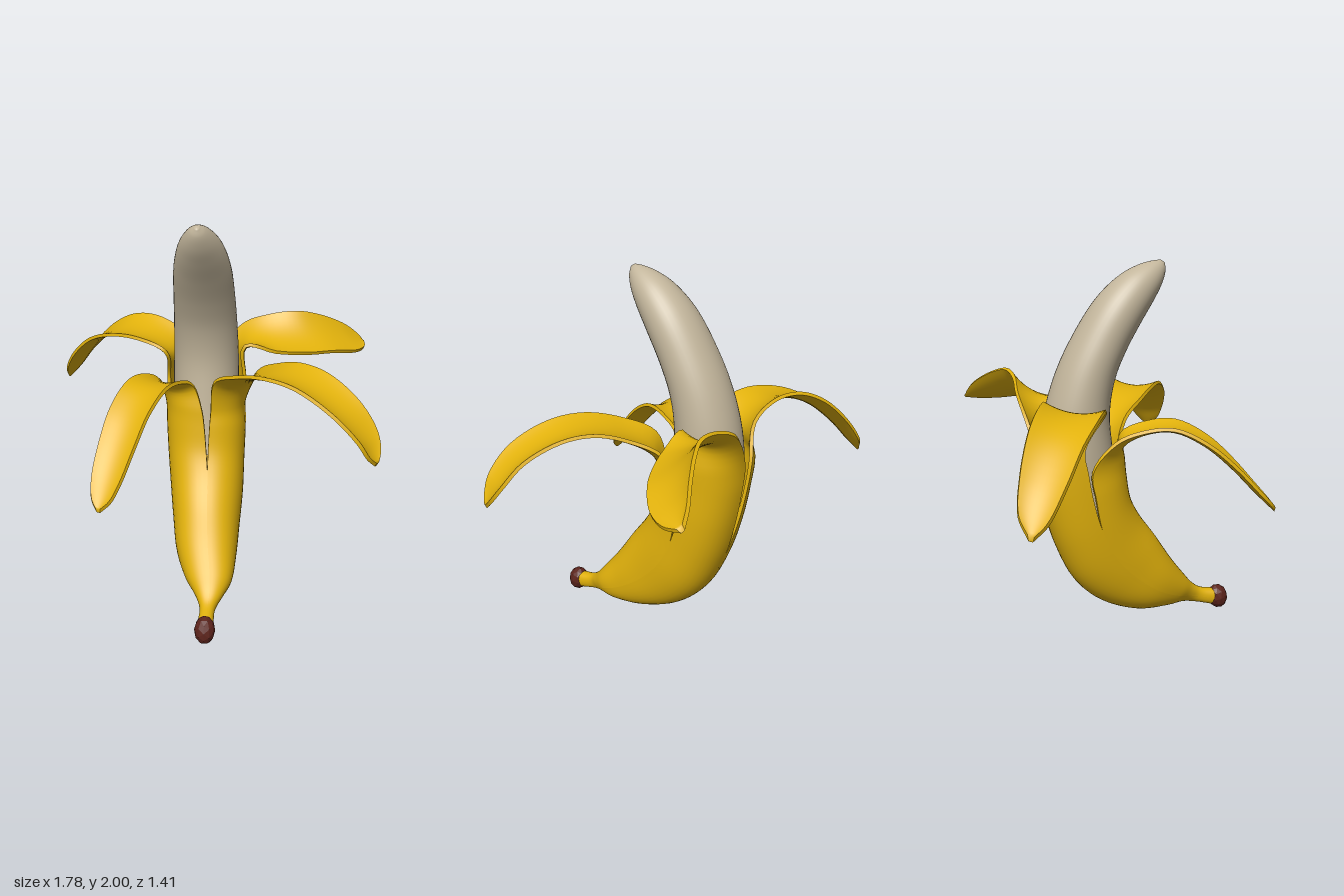
import * as THREE from 'three';
import { mergeGeometries } from 'three/addons/utils/BufferGeometryUtils.js';

const V = (x, y, z) => new THREE.Vector3(x, y, z);
const ACROSS = 12; // faces across each peel strip
const THICK = 0.018;
const Q = Math.PI / 2;

// Cross-sections: front z, front y, back z, back y, centre x, half width
const PEEL_RINGS = [
  [0.6, 0.125, 0.575, 0.035, 0.08, 0.04], [0.51, 0.145, 0.47, 0.065, 0.08, 0.04],
  [0.46, 0.18, 0.38, 0.085, 0.08, 0.07], [0.4, 0.25, 0.26, 0.09, 0.07, 0.12],
  [0.3, 0.38, 0.08, 0.11, 0.045, 0.16], [0.2, 0.53, -0.12, 0.195, 0.03, 0.182],
  [0.1, 0.67, -0.26, 0.33, 0.02, 0.2], [0.045, 0.78, -0.36, 0.54, 0.01, 0.21],
  [0.02, 0.91, -0.42, 0.75, 0.005, 0.217], [0.01, 1.0, -0.455, 0.95, 0, 0.218],
  [0, 1.1, -0.47, 1.1, 0, 0.218],
];
const FRUIT_RINGS = [
  [0.0, 0.74, -0.3, 0.55, 0, 0.16], [-0.05, 1.05, -0.42, 1.0, 0, 0.178],
  [-0.065, 1.25, -0.41, 1.2, 0, 0.175], [-0.035, 1.42, -0.35, 1.42, 0, 0.167],
  [0.025, 1.56, -0.26, 1.61, 0, 0.158], [0.1, 1.69, -0.12, 1.82, 0, 0.143],
  [0.17, 1.8, 0.01, 1.935, 0, 0.112], [0.215, 1.88, 0.11, 1.982, 0, 0.075],
  [0.236, 1.945, 0.18, 1.998, 0, 0.038], [0.235, 1.985, 0.212, 2.0, 0, 0.01],
];

// Centre lines of the folded parts: x, y, z
const FRONT_LEFT = [
  [0.2, 1.12, -0.03], [0.3, 1.215, 0.08], [0.42, 1.255, 0.185], [0.55, 1.245, 0.275],
  [0.7, 1.165, 0.375], [0.8, 1.06, 0.425], [0.84, 0.99, 0.45], [0.865, 0.945, 0.465],
];
const BACK_LEFT = [
  [0.21, 1.25, -0.37], [0.35, 1.285, -0.385], [0.5, 1.29, -0.425], [0.62, 1.275, -0.48],
  [0.75, 1.235, -0.565], [0.82, 1.21, -0.635], [0.86, 1.195, -0.685],
];
const BACK_RIGHT = [
  [-0.2, 1.22, -0.3], [-0.33, 1.3, -0.34], [-0.47, 1.295, -0.41], [-0.6, 1.235, -0.49],
  [-0.74, 1.1, -0.58], [-0.83, 0.975, -0.645], [-0.88, 0.915, -0.67],
];
const FRONT_RIGHT = [
  [-0.16, 1.09, -0.03], [-0.21, 1.16, 0.08], [-0.255, 1.17, 0.2], [-0.31, 1.1, 0.34],
  [-0.35, 0.985, 0.47], [-0.385, 0.855, 0.59], [-0.4, 0.785, 0.66], [-0.41, 0.75, 0.695],
];

// Points along a ring; angle 0 is the front and a quarter turn is +x
function ringRow([fz, fy, bz, by, cx, hw], from, to, faces, ridge) {
  return Array.from({ length: faces + 1 }, (_, k) => {
    const a = from + (to - from) * k / faces;
    const r = 1 + ridge * (1 - Math.cos(4 * a));
    const c = Math.cos(a) * r * 0.5;
    return V(cx + hw * r * Math.sin(a), (fy + by) / 2 + (fy - by) * c, (fz + bz) / 2 + (fz - bz) * c);
  });
}

// Resample rows with a smooth curve through each column
function smoothRows(rows, perRow) {
  const steps = (rows.length - 1) * perRow;
  const curves = rows[0].map((_, k) => new THREE.CatmullRomCurve3(rows.map((r) => r[k])));
  return Array.from({ length: steps + 1 }, (_, i) => curves.map((c) => c.getPoint(i / steps)));
}

// Skin rows of points into a smooth surface; closed joins last to first column
function skin(rows, closed) {
  const n = rows[0].length, index = [];
  for (let i = 0; i < rows.length - 1; i++) {
    for (let k = 0; k < (closed ? n : n - 1); k++) {
      const a = i * n + k, b = i * n + (k + 1) % n;
      index.push(a, b, a + n, b, b + n, a + n);
    }
  }
  const geo = new THREE.BufferGeometry().setFromPoints(rows.flat());
  geo.setIndex(index);
  geo.computeVertexNormals();
  return geo;
}

// One strip from the stem up to its folded tip. Seams are the angles of its
// edges; slits say how far each edge opens on the rings from the eighth up.
function stripGeometry(path, width, tilt, seams, slits) {
  // Part wrapped round the fruit
  const rows = PEEL_RINGS.slice(0, 7 + slits[0].length).map((ring, i) => {
    const [open, close] = slits.map((s) => (i < 7 ? 0 : s[i - 7]));
    return ringRow(ring, seams[0] + open, seams[1] - close, ACROSS, 0.025);
  });
  // Folded part: shallow arcs along the centre line, narrowing to the tip
  path.forEach(([x, y, z], i) => {
    const p = path[Math.max(i - 1, 0)], q = path[Math.min(i + 1, path.length - 1)];
    const dir = V(q[0] - p[0], q[1] - p[1], q[2] - p[2]).normalize();
    const side = V(dir.z, 0, -dir.x).normalize();
    side.y = tilt * Math.min(1, 0.15 + i / 2);
    side.normalize();
    const inward = dir.clone().cross(side).normalize();
    const w = width * (1 - (i / (path.length - 1)) ** 3) + 0.01;
    const depth = w * (i === 0 ? 0.35 : 0.22);
    rows.push(Array.from({ length: ACROSS + 1 }, (_, k) => {
      const s = 2 * k / ACROSS - 1;
      return V(x, y, z).addScaledVector(side, s * w).addScaledVector(inward, depth * s * s);
    }));
  });
  const outer = smoothRows(rows, 5);
  // Inner face, offset along the surface normal and meeting the outer at the tip
  const end = outer.length - 1;
  const inner = outer.map((row, i) => row.map((p, k) => {
    const du = row[Math.min(k + 1, ACROSS)].clone().sub(row[Math.max(k - 1, 0)]);
    const dv = outer[Math.min(i + 1, end)][k].clone().sub(outer[Math.max(i - 1, 0)][k]);
    return p.clone().addScaledVector(du.cross(dv).normalize(), i === end ? 0 : -THICK);
  }));
  return mergeGeometries([
    skin(outer),
    skin(inner.map((row) => [...row].reverse())),
    skin(outer.map((row, i) => [inner[i][0], row[0]])),
    skin(outer.map((row, i) => [row[ACROSS], inner[i][ACROSS]])),
  ]);
}

function fruitGeometry() {
  const rows = smoothRows(FRUIT_RINGS.map((r) => ringRow(r, 0, Math.PI * 2 * 39 / 40, 39, 0)), 6);
  const last = rows[rows.length - 1];
  const tip = last[0].clone().lerp(last[20], 0.5);
  rows.push(last.map(() => tip));
  return skin(rows, true);
}

export function createModel() {
  const group = new THREE.Group();
  const material = (name, color, extra) => new THREE.MeshStandardMaterial({ name, color, ...extra });
  const yellow = material('peelYellow', 0xe2b20c, { side: THREE.DoubleSide });
  const cream = material('fruitCream', 0xc2b59b);
  const brown = material('stemBrown', 0x5c241c, { flatShading: true });
  const add = (name, geo, mat) => {
    const mesh = new THREE.Mesh(geo, mat);
    mesh.name = name;
    group.add(mesh);
    return mesh;
  };

  // Skin in four strips, joined below and peeled open above
  add('frontLeftPeel', stripGeometry(FRONT_LEFT, 0.145, 0, [0.1, Q],
    [[0.03, 0.07, 0.12], [0, 0.08, 0.14]]), yellow);
  add('backLeftPeel', stripGeometry(BACK_LEFT, 0.14, 0.8, [Q, 2 * Q],
    [[0, 0.03, 0.03, 0.03], [0, 0.05, 0.08, 0.09]]), yellow);
  add('backRightPeel', stripGeometry(BACK_RIGHT, 0.14, -0.2, [2 * Q, 3 * Q],
    [[0, 0.1, 0.18, 0.24], [0, 0.03, 0.05, 0.06]]), yellow);
  add('frontRightPeel', stripGeometry(FRONT_RIGHT, 0.11, 0, [3 * Q, 4 * Q + 0.1],
    [[0, 0.03, 0.05], [0.02, 0.06, 0.1]]), yellow);

  add('fruit', fruitGeometry(), cream);

  // Rough stem end
  const end = add('stemEnd', new THREE.IcosahedronGeometry(1, 1), brown);
  end.scale.set(0.053, 0.072, 0.058);
  end.position.set(0.08, 0.074, 0.624);
  end.rotation.x = -0.25;
  return group;
}
